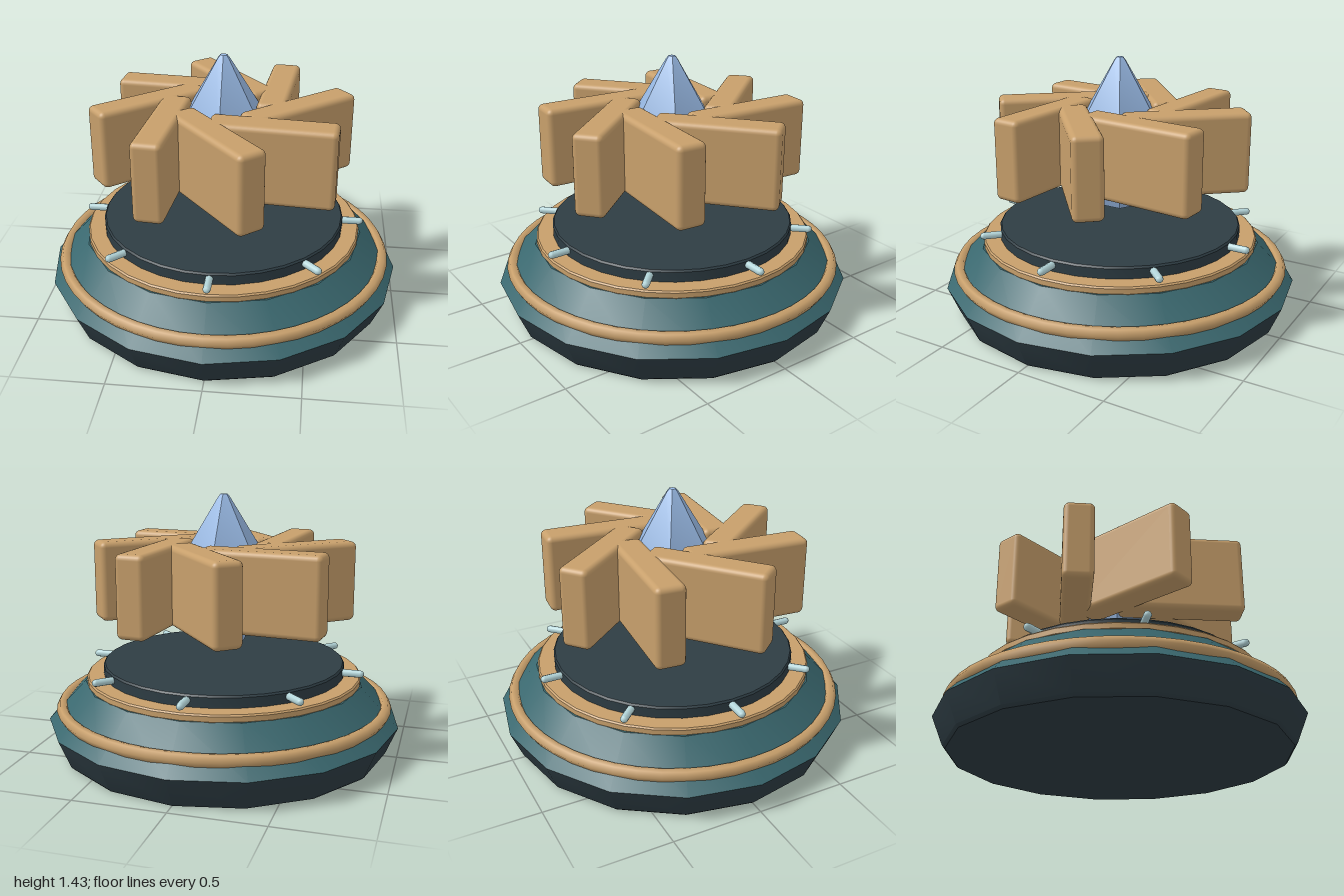
import * as THREE from 'three';
import { toCreasedNormals } from 'three/addons/utils/BufferGeometryUtils.js';
import { RoundedBoxGeometry } from 'three/addons/geometries/RoundedBoxGeometry.js';

const material = (name, color) => {
  const m = new THREE.MeshStandardMaterial({ color });
  m.name = name;
  return m;
};

export function createModel() {
  const slate = material('slate', 0x2e3d44);
  const teal = material('teal', 0x3a686f);
  const bronze = material('bronze', 0xc79f6b);
  const crystalBlue = material('crystal blue', 0x98b9e4);
  const paleMetal = material('pale metal', 0xb4d6da);

  const model = new THREE.Group();
  model.name = 'floatingRotor';

  const add = (name, geometry, mat, parent = model) => {
    const mesh = new THREE.Mesh(geometry, mat);
    mesh.name = name;
    parent.add(mesh);
    return mesh;
  };
  // Turned part with soft sides and sharp rims; profile is [radius, y] from bottom to top
  const turned = (name, profile, sides, mat) => {
    const points = profile.map(([r, y]) => new THREE.Vector2(r, y));
    return add(name, toCreasedNormals(new THREE.LatheGeometry(points, sides), 0.5), mat);
  };

  // Stepped base
  turned('foot', [[0, 0], [0.92, 0], [0.935, 0.015], [1, 0.17], [0, 0.17]], 16, slate);
  turned('slopedBody', [[0, 0.17], [1, 0.17], [0.79, 0.39], [0, 0.39]], 16, teal);
  turned('collar', [[0, 0.385], [0.775, 0.385], [0.78, 0.392], [0.78, 0.42], [0.772, 0.428], [0, 0.428]], 32, bronze);
  turned('topDisc', [[0, 0.43], [0.685, 0.43], [0.685, 0.485], [0.677, 0.495], [0, 0.495]], 32, slate);

  // Trim hoop around the sloped body
  const hoop = add('trimHoop', new THREE.TorusGeometry(0.921, 0.034, 6, 48), bronze);
  hoop.rotation.x = Math.PI / 2;
  hoop.position.y = 0.25;

  // Floating six-sided crystal
  turned('crystal', [[0, 0.6], [0.12, 0.6], [0.28, 0.95], [0.28, 1.02], [0.035, 1.415], [0.02, 1.433], [0, 1.435]], 6, crystalBlue);

  // Slanted blades and rim pins, eight of each
  const bladeGeometry = new RoundedBoxGeometry(0.68, 0.445, 0.165, 3, 0.03);
  const pinGeometry = new THREE.CapsuleGeometry(0.021, 0.118, 3, 8);
  const blades = new THREE.Group();
  blades.name = 'blades';
  const pins = new THREE.Group();
  pins.name = 'rimPins';
  model.add(blades, pins);
  for (let i = 0; i < 8; i++) {
    const a = (i * Math.PI) / 4;
    const blade = add('blade', bladeGeometry, bronze, blades);
    blade.position.set(0.41 * Math.cos(a), 0.953, -0.41 * Math.sin(a));
    blade.rotation.y = a + THREE.MathUtils.degToRad(40);

    const pin = add('rimPin', pinGeometry, paleMetal, pins);
    pin.position.set(0.722 * Math.cos(a), 0.465, -0.722 * Math.sin(a));
    pin.rotation.set(0, a, Math.PI / 2);
  }
  return model;
}
